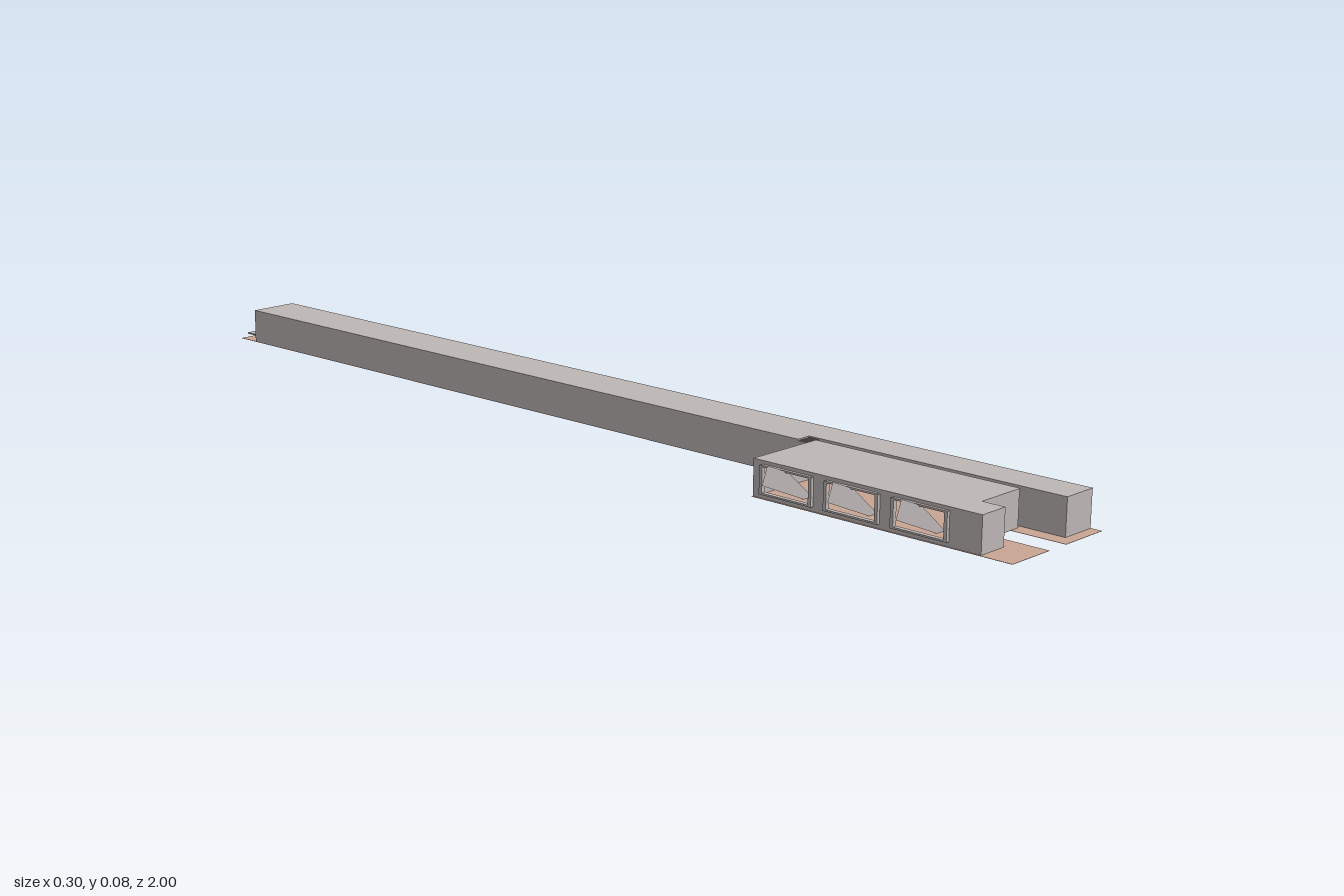
import * as THREE from 'three';

const mat = (name, color, side = THREE.FrontSide) => {
  const m = new THREE.MeshStandardMaterial({ color, side });
  m.name = name;
  return m;
};

export function createModel() {
  const root = new THREE.Group();
  root.name = 'corridorBuilding';
  const wall = mat('wallGrey', 0xbdb7b5);
  const shaft = mat('shaftGrey', 0xbdb7b5, THREE.DoubleSide);
  const floor = mat('floorBrown', 0xc9a594);
  const dark = mat('frameGrey', 0x6a6664);
  const pane = mat('paneLight', 0xd2cecc);

  // box given by its lower and upper bounds
  const box = (name, m, x0, x1, y0, y1, z0, z1) => {
    const mesh = new THREE.Mesh(new THREE.BoxGeometry(x1 - x0, y1 - y0, z1 - z0), m);
    mesh.position.set((x0 + x1) / 2, (y0 + y1) / 2, (z0 + z1) / 2);
    mesh.name = name;
    root.add(mesh);
  };

  // long wall in the z-y plane with rectangular openings [z0, z1, y0, y1]
  const piercedWall = (name, xOuter, depth, z0, z1, y0, y1, holes) => {
    const rect = (P, a, b, c, d) => {
      const p = new P();
      p.moveTo(a, c); p.lineTo(b, c); p.lineTo(b, d); p.lineTo(a, d); p.closePath();
      return p;
    };
    const s = rect(THREE.Shape, z0, z1, y0, y1);
    holes.forEach(h => s.holes.push(rect(THREE.Path, ...h)));
    const g = new THREE.ExtrudeGeometry(s, { depth, bevelEnabled: false });
    g.rotateY(-Math.PI / 2);
    const mesh = new THREE.Mesh(g, wall);
    mesh.position.x = xOuter;
    mesh.name = name;
    root.add(mesh);
  };

  const B = 0.007, F = 0.0075;

  // thin floors
  box('corridorFloor', floor, 0.047, 0.143, B, F, -0.975, 1);
  box('annexFloor', floor, -0.09, 0.047, B, F, 0.5, 0.9);
  box('annexPorchFloor', floor, -0.09, 0.004, B, F, 0.9, 1);

  // corridor shell
  box('corridorRoof', wall, 0.047, 0.143, 0.069, 0.0715, -0.93, 0.48);
  box('corridorRoofFront', wall, 0.075, 0.143, 0.069, 0.0715, 0.48, 0.98);
  box('corridorBlindWall', wall, 0.047, 0.05, F, 0.069, -0.93, 0.5);
  box('corridorBackWall', wall, 0.05, 0.138, F, 0.069, -0.93, -0.927);
  box('corridorFrontWall', wall, 0.075, 0.138, F, 0.069, 0.977, 0.98);
  piercedWall('corridorInnerWall', 0.078, 0.003, 0.5, 0.98, F, 0.069,
    [0.6, 0.85].map(z => [z - 0.03, z + 0.03, 0.009, 0.055]));
  for (const z of [0.515, 0.59, 0.82, 0.885])
    box('passageColumn', wall, 0.064, 0.076, F, 0.062, z - 0.006, z + 0.006);

  // window bays along the left side
  const bays = [0.745, 0.59, 0.42, 0.265, 0.105, -0.06, -0.21, -0.365, -0.535, -0.69, -0.845];
  piercedWall('windowWall', 0.142, 0.004, -0.93, 0.98, F, 0.069,
    bays.map(z => [z - 0.03, z + 0.03, 0.028, 0.057]));
  box('smallWindowFrame', wall, 0.142, 0.148, 0.028, 0.052, 0.905, 0.937);
  for (const z of [0.92, 0.87])
    box('floorLamp', dark, 0.142, 0.143, F, 0.013, z - 0.003, z + 0.003);
  for (const z of bays) {
    box('windowBacking', dark, 0.138, 0.14, 0.028, 0.057, z - 0.03, z + 0.03);
    for (let i = 0; i < 4; i++) {
      const c = z - 0.0195 + i * 0.013;
      box('windowPane', pane, 0.14, 0.1415, 0.035, 0.047, c - 0.0045, c + 0.0045);
    }
    box('windowHood', wall, 0.142, 0.144, 0.056, 0.059, z - 0.034, z + 0.034);
    box('windowSill', wall, 0.142, 0.144, 0.025, 0.029, z - 0.03, z + 0.03);
    for (const s of [-1, 1]) {
      box('windowFoot', dark, 0.142, 0.1435, F, 0.02, z + s * 0.031 - 0.003, z + s * 0.031 + 0.003);
      box('wallRib', wall, 0.142, 0.143, F, 0.069, z + s * 0.068 - 0.003, z + s * 0.068 + 0.003);
    }
    box('windowPlinth', dark, 0.142, 0.1435, F, 0.011, z - 0.028, z + 0.028);
  }

  // ceiling ribs under the corridor roof
  for (let z = -0.9; z < 0.95; z += 0.05)
    box('ceilingRib', wall, z < 0.48 ? 0.051 : 0.079, 0.137, 0.064, 0.069, z - 0.002, z + 0.002);

  // back step
  box('backLanding', wall, 0.08, 0.13, F, 0.0085, -0.975, -0.93);
  box('backStep', wall, 0.082, 0.13, B, 0.0095, -1, -0.975);

  // annex shell
  box('annexRoof', wall, -0.087, 0.068, 0.068, 0.07, 0.5, 0.9);
  box('annexRoofCorner', wall, -0.087, -0.03, 0.068, 0.07, 0.9, 0.942);
  box('annexBackWall', wall, -0.087, 0.047, F, 0.068, 0.5, 0.503);
  box('annexFrontWall', wall, -0.03, 0.066, F, 0.068, 0.897, 0.9);
  box('annexCornerFront', wall, -0.087, -0.03, F, 0.068, 0.939, 0.942);
  box('annexCornerSide', wall, -0.033, -0.03, F, 0.068, 0.9, 0.939);

  // annex windows, each with a slanted light shaft falling to the floor
  const openings = [0.57, 0.7, 0.83];
  piercedWall('annexWindowWall', -0.084, 0.003, 0.5, 0.942, F, 0.068,
    openings.map(z => [z - 0.048, z + 0.048, 0.018, 0.061]));
  const outline = new THREE.Shape([
    [-0.148, 0.051], [-0.136, 0.081], [-0.085, 0.06], [-0.02, 0.004], [-0.03, 0.001],
  ].map(p => new THREE.Vector2(...p)));
  for (const z of openings) {
    for (const s of [-1, 1])
      box('annexWindowJamb', wall, -0.093, -0.087, 0.015, 0.063, z + s * 0.05 - 0.003, z + s * 0.05 + 0.003);
    box('annexWindowHead', wall, -0.093, -0.087, 0.061, 0.064, z - 0.05, z + 0.05);
    box('annexWindowSill', wall, -0.093, -0.087, 0.015, 0.018, z - 0.05, z + 0.05);
    const blade = new THREE.Mesh(new THREE.ShapeGeometry(outline), shaft);
    blade.position.z = z;
    blade.name = 'lightShaft';
    root.add(blade);
  }

  // annex ceiling grid
  for (let z = 0.54; z < 0.88; z += 0.05)
    box('annexCeilingRib', wall, -0.083, 0.065, 0.064, 0.068, z - 0.002, z + 0.002);
  for (let x = -0.05; x < 0.06; x += 0.035)
    box('annexCeilingBeam', wall, x - 0.002, x + 0.002, 0.063, 0.067, 0.504, 0.896);

  return root;
}
